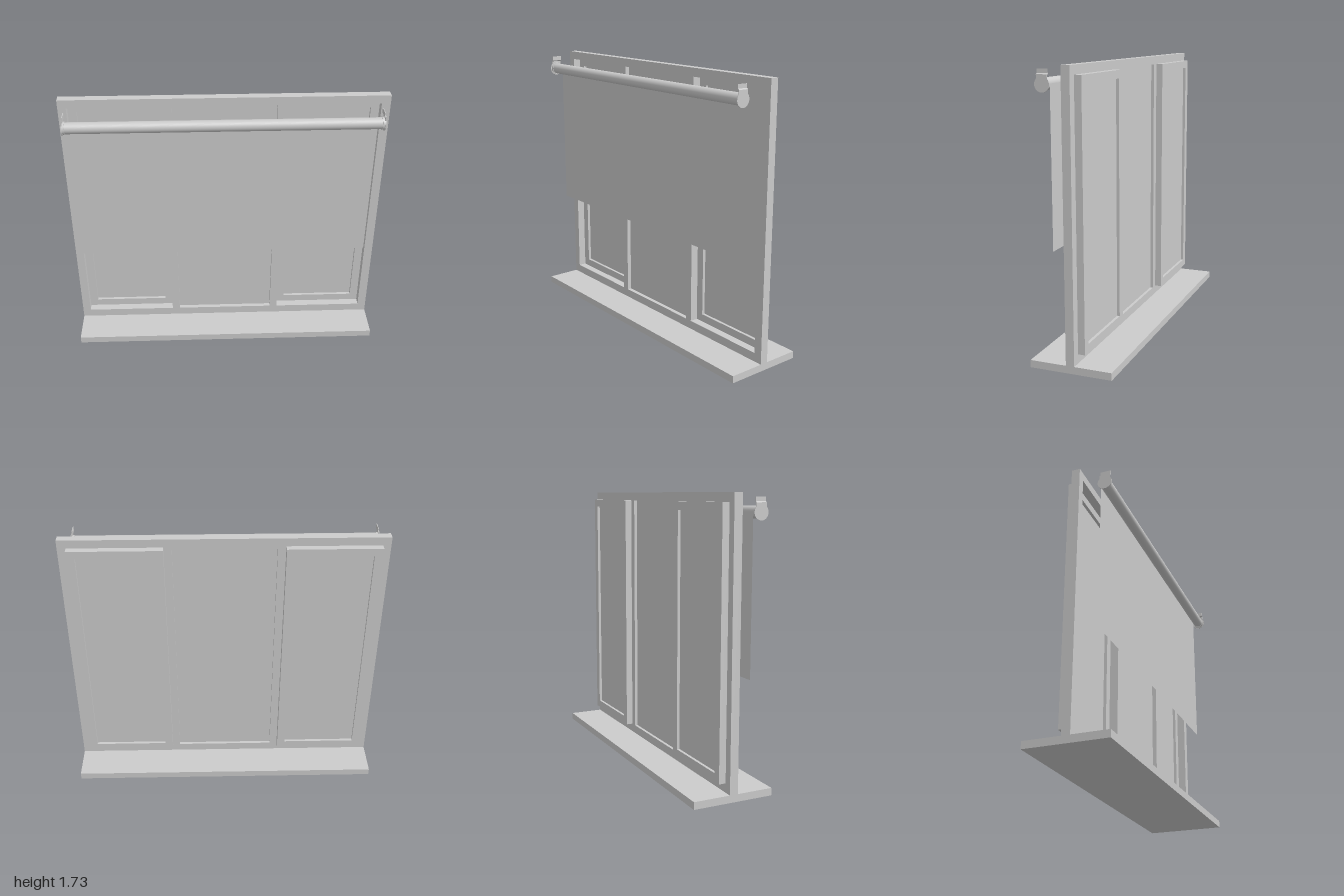
import * as THREE from 'three';

const grey = new THREE.MeshStandardMaterial({ color: 0xcccccc });
const greyThin = new THREE.MeshStandardMaterial({ color: 0xcccccc, side: THREE.DoubleSide });

function add(parent, name, geometry, x = 0, y = 0, z = 0, material = grey) {
  const mesh = new THREE.Mesh(geometry, material);
  mesh.name = name;
  mesh.position.set(x, y, z);
  parent.add(mesh);
  return mesh;
}

function rect(path, x0, x1, y0, y1) {
  path.moveTo(x0, y0);
  path.lineTo(x1, y0);
  path.lineTo(x1, y1);
  path.lineTo(x0, y1);
  path.closePath();
  return path;
}

// Flat frame with rectangular openings, each given as [x0, x1, y0, y1]
function frameGeometry(outer, openings, depth) {
  const shape = rect(new THREE.Shape(), ...outer);
  openings.forEach((o) => shape.holes.push(rect(new THREE.Path(), ...o)));
  return new THREE.ExtrudeGeometry(shape, { depth, bevelEnabled: false });
}

function addPane(parent, name, [x0, x1, y0, y1], z) {
  add(parent, name, new THREE.BoxGeometry(x1 - x0, y1 - y0, 0.006),
    (x0 + x1) / 2, (y0 + y1) / 2, z);
}

export function createModel() {
  const model = new THREE.Group();
  model.name = 'windowWithRollerBlind';

  // Sill board
  add(model, 'sill', new THREE.BoxGeometry(2, 0.045, 0.506), 0, 0.0225, -0.002);

  // Main frame with three openings
  const bottom = 0.1, top = 1.677;
  const right = [-0.95, -0.37, bottom, top];
  const centre = [-0.32, 0.317, bottom, top];
  const left = [0.366, 0.946, bottom, top];
  add(model, 'mainFrame', frameGeometry([-1, 1, 0.045, 1.73], [right, centre, left], 0.052), 0, 0, -0.026);
  addPane(model, 'centrePane', centre, -0.004);

  // Side sashes mounted on the back of the frame
  for (const [side, outer] of [['right', right], ['left', left]]) {
    const sash = new THREE.Group();
    sash.name = side + 'Sash';
    const [x0, x1, y0, y1] = outer;
    const inner = [x0 + 0.052, x1 - 0.052, y0 + 0.05, y1 - 0.05];
    add(sash, 'sashFrame', frameGeometry(outer, [inner], 0.043), 0, 0, -0.069);
    addPane(sash, 'sashPane', inner, -0.048);
    model.add(sash);
  }

  // Roller blind
  const blind = new THREE.Group();
  blind.name = 'rollerBlind';
  blind.position.set(-0.01, 1.621, 0.171);
  model.add(blind);
  const roll = add(blind, 'rollerTube', new THREE.CylinderGeometry(0.035, 0.035, 1.87, 40));
  roll.rotation.z = Math.PI / 2;
  add(blind, 'fabric', new THREE.PlaneGeometry(1.84, 0.945), 0, -0.4695, -0.035, greyThin);

  // Bracket plate: round end with a straight neck rising from it
  const r = 0.045, neck = 0.033;
  const a = Math.acos(neck / r);
  const plate = new THREE.Shape();
  plate.moveTo(-neck, 0.048);
  plate.lineTo(-neck, Math.sin(a) * r);
  plate.absarc(0, 0, r, Math.PI - a, 2 * Math.PI + a, false);
  plate.lineTo(neck, 0.048);
  plate.closePath();
  const plateGeometry = new THREE.ExtrudeGeometry(plate, { depth: 0.005, bevelEnabled: false, curveSegments: 24 });
  plateGeometry.rotateY(Math.PI / 2);

  // Cranked tab above the plate, drawn in section and extruded across the neck
  const tab = new THREE.Shape([
    [0, 0.044], [0.005, 0.044], [0.005, 0.054], [-0.004, 0.06],
    [-0.004, 0.084], [-0.008, 0.084], [-0.008, 0.056], [0, 0.05],
  ].map(([x, y]) => new THREE.Vector2(x, y)));
  const tabGeometry = new THREE.ExtrudeGeometry(tab, { depth: neck * 2, bevelEnabled: false });
  tabGeometry.translate(0, 0, -neck);

  for (const s of [1, -1]) {
    const bracket = new THREE.Group();
    bracket.name = s > 0 ? 'leftBracket' : 'rightBracket';
    bracket.position.x = s * 0.944;
    bracket.rotation.y = s > 0 ? 0 : Math.PI;
    add(bracket, 'bracketPlate', plateGeometry);
    add(bracket, 'bracketTab', tabGeometry);
    const collar = add(bracket, 'bracketCollar', new THREE.CylinderGeometry(0.039, 0.039, 0.012, 40), -0.006);
    collar.rotation.z = Math.PI / 2;
    blind.add(bracket);
  }

  return model;
}
